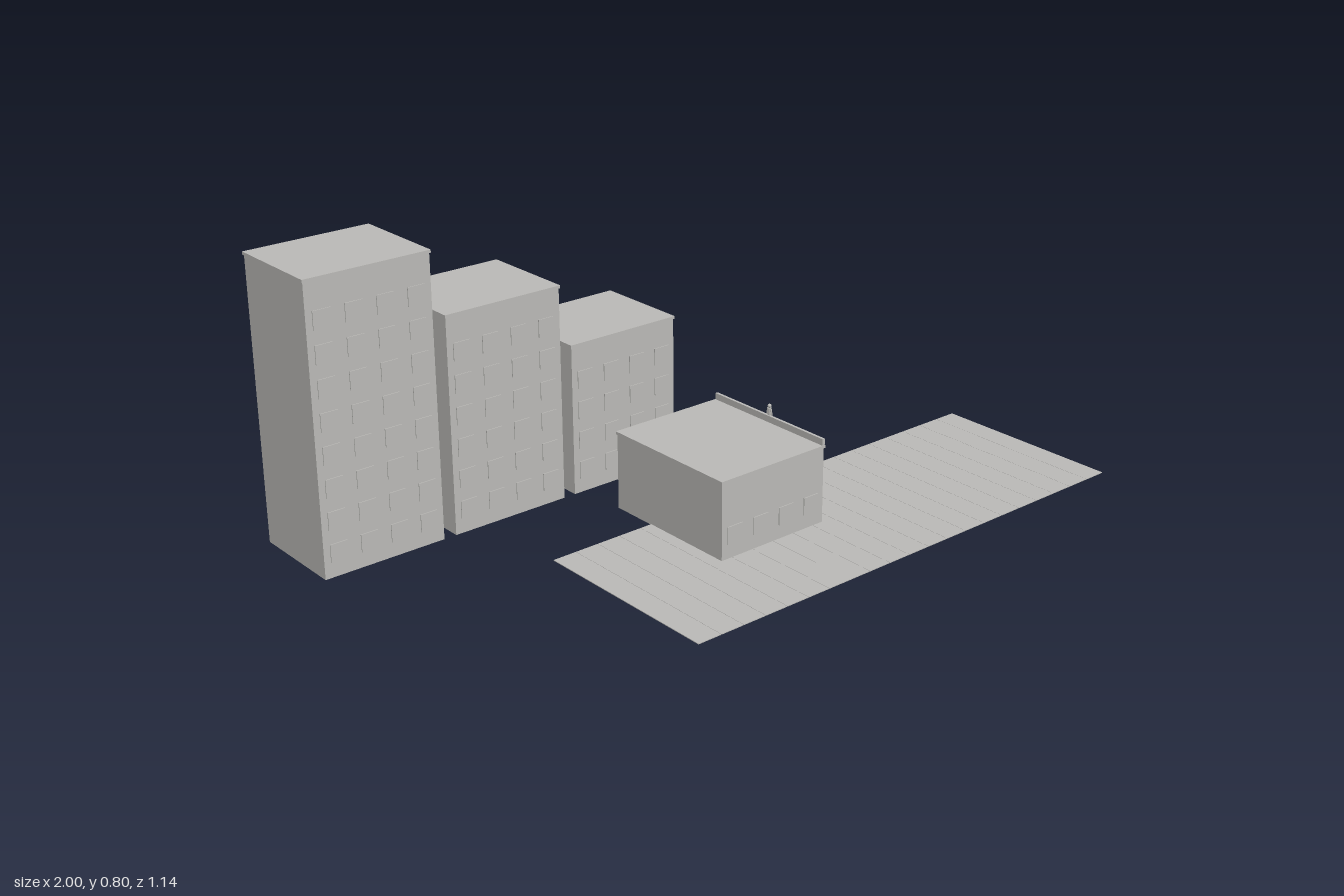
import * as THREE from 'three';

const concrete = new THREE.MeshStandardMaterial({ color: 0xb9b8b5 });
concrete.name = 'concrete grey';

export function createModel() {
  const model = new THREE.Group();
  model.name = 'cityBlock';

  const add = (parent, name, geometry, x, y, z) => {
    const mesh = new THREE.Mesh(geometry, concrete);
    mesh.name = name;
    mesh.position.set(x, y, z);
    parent.add(mesh);
    return mesh;
  };
  const box = (parent, name, w, h, d, x, y, z) =>
    add(parent, name, new THREE.BoxGeometry(w, h, d), x, y, z);

  // Building: walls, overhanging roof slab and a grid of thin window plates
  const building = (name, x, z, height, depth, floors) => {
    const g = new THREE.Group();
    g.name = name;
    g.position.set(x, 0, z);
    const width = 0.355, slab = 0.008;
    box(g, 'walls', width, height - slab, depth, 0, (height - slab) / 2, 0);
    box(g, 'roofSlab', width + 0.006, slab, depth + 0.006, 0, height - slab / 2, 0);
    for (let f = 0; f < floors; f++) {
      for (let c = 0; c < 4; c++) {
        box(g, 'window', 0.05, 0.05, 0.003,
          (c - 1.5) * 0.089, 0.067 + f * 0.0885, depth / 2 + 0.0012);
      }
    }
    model.add(g);
  };
  building('tallTower', -0.82, -0.428, 0.795, 0.284, 8);
  building('middleTower', -0.428, -0.428, 0.615, 0.284, 6);
  building('shortTower', -0.037, -0.428, 0.438, 0.284, 4);
  building('frontHouse', 0, 0.073, 0.225, 0.424, 1);

  // Parapet along one edge of the low roof
  box(model, 'parapet', 0.008, 0.023, 0.428, 0.175, 0.232, 0.073);

  // Paving: equal strips laid side by side
  const strips = 21, pitch = 1.5 / strips;
  for (let i = 0; i < strips; i++) {
    box(model, 'pavingStrip', pitch - 0.0008, 0.002, 0.57,
      -0.5 + (i + 0.5) * pitch, 0.001, 0.285);
  }

  // Small figure sitting on the parapet, legs over the edge
  const figure = new THREE.Group();
  figure.name = 'figure';
  figure.position.set(0.178, 0, 0.073);
  add(figure, 'head', new THREE.SphereGeometry(0.0055, 12, 8), 0, 0.27, 0);
  add(figure, 'torso', new THREE.CylinderGeometry(0.006, 0.0045, 0.021, 10), 0, 0.254, 0);
  for (const s of [-1, 1]) {
    const arm = add(figure, 'arm', new THREE.CylinderGeometry(0.002, 0.0017, 0.02, 8), 0, 0.252, s * 0.0085);
    arm.rotation.x = -s * 0.2;
    add(figure, 'leg', new THREE.CylinderGeometry(0.0025, 0.002, 0.03, 8), 0.003, 0.231, s * 0.0035);
  }
  model.add(figure);

  return model;
}
